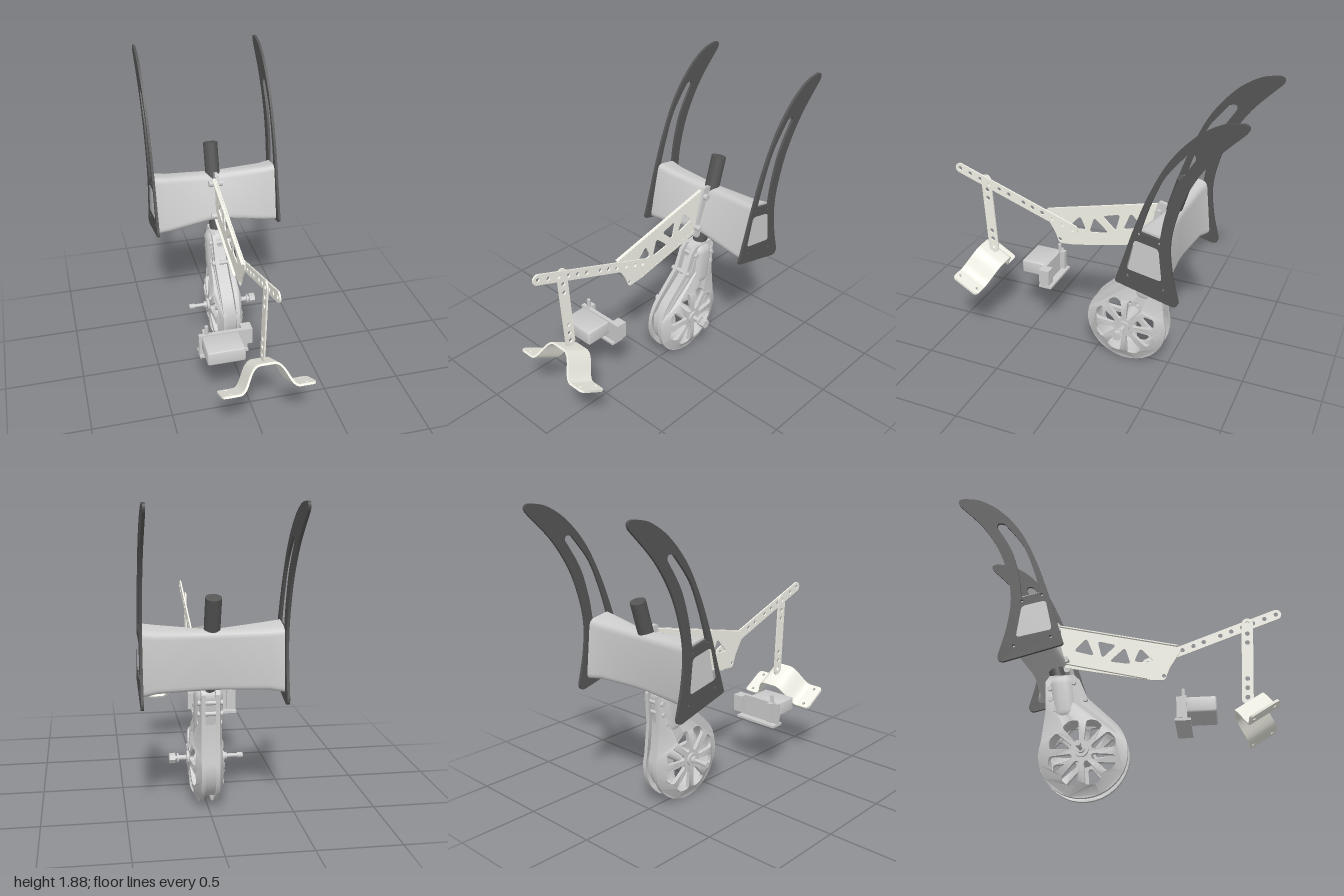
import * as THREE from 'three';
import { toCreasedNormals } from 'three/addons/utils/BufferGeometryUtils.js';
import { RoundedBoxGeometry } from 'three/addons/geometries/RoundedBoxGeometry.js';

const mat = (color, side = THREE.FrontSide) => new THREE.MeshStandardMaterial({ color, side });
const grey = mat(0xcccccc), dark = mat(0x555555), cream = mat(0xf2f2e8);
const V = (a, b) => new THREE.Vector2(a, b);

// Polygon with rounded corners
function poly(pts, r) {
  const p = pts.map(q => V(...q)), n = p.length, s = new THREE.Shape();
  p.forEach((c, i) => {
    const cut = o => c.clone().add(o.clone().sub(c).setLength(Math.min(r, o.distanceTo(c) * 0.45)));
    const a = cut(p[(i + n - 1) % n]), b = cut(p[(i + 1) % n]);
    i ? s.lineTo(a.x, a.y) : s.moveTo(a.x, a.y);
    s.quadraticCurveTo(c.x, c.y, b.x, b.y);
  });
  s.closePath();
  return s;
}
const hole = (a, b, r) => new THREE.Path().absarc(a, b, r, 0, Math.PI * 2);

// Shape drawn in (z, y), given a thickness along x
function sideGeo(shape, t, x = 0) {
  const g = new THREE.ExtrudeGeometry(shape, { depth: t, bevelEnabled: false, curveSegments: 12 });
  return g.translate(0, 0, -t / 2).rotateY(-Math.PI / 2).translate(x, 0, 0);
}

// Perforated bar with round ends; holes sit at fractions of its length
function barShape(a, b, w, fractions) {
  const f = Math.atan2(b[1] - a[1], b[0] - a[0]), h = Math.PI / 2, s = new THREE.Shape();
  s.absarc(b[0], b[1], w, f - h, f + h);
  s.absarc(a[0], a[1], w, f + h, f + 3 * h);
  for (const t of fractions) s.holes.push(hole(a[0] + (b[0] - a[0]) * t, a[1] + (b[1] - a[1]) * t, w * 0.42));
  return s;
}

// Wheel housing outline: a circle drawn out to a neck
const HZ = -0.222, HY = 0.268;
function teardrop(i) {
  const s = new THREE.Shape();
  s.moveTo(-0.437 + i, 0.777 - i);
  s.lineTo(-0.287 - i, 0.777 - i);
  s.lineTo(-0.25 - i, 0.74 - i);
  s.lineTo(-0.2 - i, 0.62 - i);
  s.absarc(HZ, HY, 0.268 - i, Math.PI / 4, Math.PI * 0.9, true);
  s.lineTo(-0.455 + i, 0.55);
  s.lineTo(-0.462 + i, 0.74 - i);
  s.closePath();
  return s;
}

// Closed body lofted through rounded four-cornered sections along x
function loft(stations, r) {
  const pos = [], idx = [];
  const rings = stations.map(([x, c]) => poly(c, r).getPoints(5).slice(0, -1).map(p => [x, p.y, p.x]));
  const collapse = ring => {
    const m = [0, 1, 2].map(k => ring.reduce((t, p) => t + p[k], 0) / ring.length);
    return ring.map(() => m);
  };
  rings.unshift(collapse(rings[0]));
  rings.push(collapse(rings[rings.length - 1]));
  const n = rings[0].length;
  rings.forEach((ring, i) => ring.forEach((p, j) => {
    pos.push(...p);
    if (i === rings.length - 1) return;
    const a = i * n + j, b = i * n + (j + 1) % n;
    if (i > 0) idx.push(a, a + n, b);
    if (i < rings.length - 2) idx.push(b, a + n, b + n);
    else if (i > 0) return;
  }));
  const g = new THREE.BufferGeometry();
  g.setAttribute('position', new THREE.Float32BufferAttribute(pos, 3));
  g.setIndex(idx);
  return g;
}

export function createModel() {
  const model = new THREE.Group();
  const add = (name, geo, m = grey, crease = 0.6) => {
    const mesh = new THREE.Mesh(toCreasedNormals(geo, crease), m);
    mesh.name = name;
    model.add(mesh);
    return mesh;
  };
  const rod = (name, x0, x1, y, z, r, m = grey, seg = 20) =>
    add(name, new THREE.CylinderGeometry(r, r, x1 - x0, seg).rotateZ(Math.PI / 2).translate((x0 + x1) / 2, y, z), m);
  const box = (name, x0, x1, y0, y1, z0, z1, m = grey) =>
    add(name, new THREE.BoxGeometry(x1 - x0, y1 - y0, z1 - z0).translate((x0 + x1) / 2, (y0 + y1) / 2, (z0 + z1) / 2), m);

  // Curved side fins with a long slot and a window
  const fin = new THREE.Shape();
  fin.moveTo(-0.287, 0.83);
  fin.quadraticCurveTo(-0.285, 0.815, -0.3, 0.81);
  fin.lineTo(-0.63, 0.725);
  fin.quadraticCurveTo(-0.675, 0.72, -0.672, 0.765);
  fin.splineThru([V(-0.63, 0.94), V(-0.613, 1.12), V(-0.64, 1.29), V(-0.705, 1.475), V(-0.82, 1.66), V(-0.985, 1.835)]);
  fin.quadraticCurveTo(-1.015, 1.88, -0.963, 1.885);
  fin.splineThru([V(-0.85, 1.86), V(-0.715, 1.77), V(-0.58, 1.61), V(-0.475, 1.4), V(-0.395, 1.18), V(-0.34, 1), V(-0.287, 0.83)]);
  const slot = new THREE.Path();
  slot.moveTo(-0.435, 1.165);
  slot.splineThru([V(-0.485, 1.33), V(-0.56, 1.51), V(-0.68, 1.67)]);
  slot.quadraticCurveTo(-0.735, 1.695, -0.73, 1.65);
  slot.splineThru([V(-0.63, 1.48), V(-0.575, 1.3), V(-0.55, 1.14)]);
  slot.closePath();
  fin.holes.push(slot, poly([[-0.355, 0.915], [-0.57, 0.875], [-0.545, 1.08], [-0.4, 1.11]], 0.025));
  for (const [z, y] of [[-0.425, 1.15], [-0.545, 1.115], [-0.362, 0.868], [-0.58, 0.82]]) fin.holes.push(hole(z, y, 0.009));
  for (const s of [1, -1]) add(s > 0 ? 'leftFin' : 'rightFin', sideGeo(fin, 0.016, s * 0.41), dark);

  // Cross body between the fins, pinched at the middle
  const end = [[-0.335, 0.8], [-0.415, 1.18], [-0.575, 1.15], [-0.615, 0.78]];
  const inner = [[-0.335, 0.81], [-0.42, 1.17], [-0.565, 1.14], [-0.58, 0.785]];
  const mid = [[-0.335, 0.86], [-0.455, 1.145], [-0.555, 1.135], [-0.555, 0.785]];
  add('crossBody', loft([[-0.402, end], [-0.32, inner], [-0.05, mid], [0.05, mid], [0.32, inner], [0.402, end]], 0.04));

  // Steering tube leaning back through the body
  const tube = new THREE.CylinderGeometry(0.047, 0.047, 0.61, 32);
  add('steeringTube', tube.rotateX(-0.283).translate(0, 1.038, -0.468), dark);

  // Wheel housing: dished side plates with wedge windows
  for (const s of [1, -1]) {
    const plate = teardrop(0);
    for (let k = 0; k < 8; k++) {
      const a = (k + 0.5) * Math.PI / 4;
      const at = (r, d) => [HZ + r * Math.cos(a + d), HY + r * Math.sin(a + d)];
      plate.holes.push(poly([at(0.065, -0.18), at(0.2, -0.27), at(0.215, 0), at(0.2, 0.27), at(0.065, 0.18)], 0.02));
    }
    const g = sideGeo(plate, 0.025), p = g.attributes.position;
    for (let i = 0; i < p.count; i++) {
      const r = Math.hypot(p.getY(i) - HY, p.getZ(i) - HZ);
      p.setX(i, p.getX(i) + s * (0.0875 - 0.45 * THREE.MathUtils.clamp(r - 0.17, 0, 0.1)));
    }
    add('wheelSidePlate', g);
    rod('hubBoss', s > 0 ? 0.08 : -0.115, s > 0 ? 0.115 : -0.08, HY + 0.005, HZ, 0.042);
  }
  const core = teardrop(0.035);
  core.holes.push(hole(HZ, HY, 0.212));
  add('wheelRimAndNeck', sideGeo(core, 0.12));
  rod('hub', -0.09, 0.09, HY + 0.005, HZ, 0.05);

  // Axle with a small end knob and a hex nut
  rod('axle', -0.235, 0.22, 0.273, HZ, 0.012);
  rod('axleKnob', -0.235, -0.2, 0.273, HZ, 0.017);
  rod('axleCollar', -0.135, -0.11, 0.273, HZ, 0.022);
  rod('axleCollar', 0.11, 0.17, 0.273, HZ, 0.016);
  rod('axleWasher', 0.165, 0.175, 0.273, HZ, 0.03);
  rod('axleNut', 0.185, 0.222, 0.273, HZ, 0.032, grey, 6);

  // Fork bulge on the neck, and its cross bolts
  const bulge = new RoundedBoxGeometry(0.17, 0.31, 0.16, 5, 0.065);
  add('forkBulge', bulge.rotateX(-0.13).translate(0, 0.625, -0.35));
  for (const [z, y] of [[-0.285, 0.72], [-0.21, 0.607], [-0.432, 0.686], [-0.424, 0.617], [-0.396, 0.55]])
    rod('forkBolt', -0.075, 0.075, y, z, 0.015);

  // Forward arm: a plate with triangular windows and edge flanges
  const arm = poly([[0.36, 0.96], [-0.4, 1.145], [-0.36, 0.85], [0.16, 0.74], [0.27, 0.73], [0.3, 0.81], [0.37, 0.92]], 0.02);
  for (const t of [[[0.06, 0.85], [0.025, 0.965], [-0.075, 0.875]], [[-0.03, 0.985], [-0.15, 1.02], [-0.12, 0.9]],
    [[-0.17, 0.92], [-0.22, 1.045], [-0.3, 0.96]], [[0.21, 0.855], [0.12, 0.955], [0.08, 0.865]]]) arm.holes.push(poly(t, 0.025));
  arm.holes.push(hole(0.265, 0.76, 0.012));
  add('armPlate', sideGeo(arm, 0.008, -0.004), cream);
  add('armTopFlange', sideGeo(poly([[0.355, 0.957], [0.355, 0.949], [-0.4, 1.132], [-0.4, 1.14]], 0.002), 0.026, -0.012), cream);
  add('armLowerFlange', sideGeo(poly([[0.16, 0.74], [0.16, 0.748], [-0.36, 0.88], [-0.36, 0.872]], 0.002), 0.026, -0.012), cream);

  // Clamp joining the arm to the body
  add('clampPlate', sideGeo(poly([[-0.32, 0.82], [-0.4, 1.17], [-0.48, 1.15], [-0.42, 0.82]], 0.02), 0.024, 0.008));
  for (const [y, z] of [[1.1, -0.405], [0.89, -0.345]]) rod('clampBolt', -0.045, 0.045, y, z, 0.02);

  // Perforated bar and hanging link
  const t = [0, 0.09, 0.18, 0.265, 0.35, 0.435, 0.565, 0.645, 0.73, 0.825, 0.915, 1];
  add('perforatedBar', sideGeo(barShape([0.97, 1.143], [0.165, 0.855], 0.033, t), 0.01, 0.012), cream);
  add('hangingLink', sideGeo(barShape([0.79, 1.085], [0.762, 0.585], 0.035, [0, 0.14, 0.26, 0.74, 0.86, 0.98]), 0.01, -0.002), cream);

  // Tilted saddle: bent sheet with two drilled tabs
  const saddle = new THREE.Group();
  saddle.name = 'saddle';
  saddle.position.set(0, 0.41, 0.845);
  saddle.rotation.x = -0.54;
  const T = 0.014, L = 0.2, arch = new THREE.Shape();
  arch.moveTo(-0.18, 0);
  arch.bezierCurveTo(-0.11, 0, -0.11, 0.15, -0.04, 0.15);
  arch.lineTo(0.04, 0.15);
  arch.bezierCurveTo(0.11, 0.15, 0.11, 0, 0.18, 0);
  arch.lineTo(0.18, T);
  arch.bezierCurveTo(0.125, T, 0.115, 0.15 + T, 0.04, 0.15 + T);
  arch.lineTo(-0.04, 0.15 + T);
  arch.bezierCurveTo(-0.115, 0.15 + T, -0.125, T, -0.18, T);
  arch.closePath();
  const archGeo = new THREE.ExtrudeGeometry(arch, { depth: L, bevelEnabled: false, curveSegments: 16 }).translate(0, 0, -L / 2);
  saddle.add(new THREE.Mesh(toCreasedNormals(archGeo, 0.6), cream));
  for (const s of [1, -1]) {
    const x0 = s * 0.18, x1 = s * 0.277, c = 0.03, h = L / 2;
    const tab = new THREE.Shape();
    tab.moveTo(x0, -h);
    tab.lineTo(x1 - s * c, -h);
    tab.quadraticCurveTo(x1, -h, x1, -h + c);
    tab.lineTo(x1, h - c);
    tab.quadraticCurveTo(x1, h, x1 - s * c, h);
    tab.lineTo(x0, h);
    tab.closePath();
    for (const k of [-0.07, 0.07]) tab.holes.push(hole(s * 0.225, k, 0.011));
    const tabGeo = new THREE.ExtrudeGeometry(tab, { depth: T, bevelEnabled: false }).rotateX(-Math.PI / 2);
    saddle.add(new THREE.Mesh(toCreasedNormals(tabGeo, 0.6), cream));
  }
  saddle.children.forEach((m, i) => { m.name = i ? 'saddleTab' : 'saddleArch'; });
  model.add(saddle);

  // Motor on its bracket
  add('motor', new RoundedBoxGeometry(0.235, 0.095, 0.175, 3, 0.012).translate(-0.166, 0.457, 0.49));
  box('bracketPlate', -0.3, 0.005, 0.36, 0.51, 0.385, 0.41);
  box('bracketLip', -0.3, 0.005, 0.357, 0.372, 0.34, 0.43);
  box('bracketPost', -0.03, 0.035, 0.4, 0.51, 0.34, 0.41);
  box('bracketPost', -0.27, -0.235, 0.385, 0.515, 0.35, 0.4);
  add('bracketPin', new THREE.CylinderGeometry(0.012, 0.012, 0.06, 16).translate(-0.25, 0.535, 0.39));
  return model;
}
